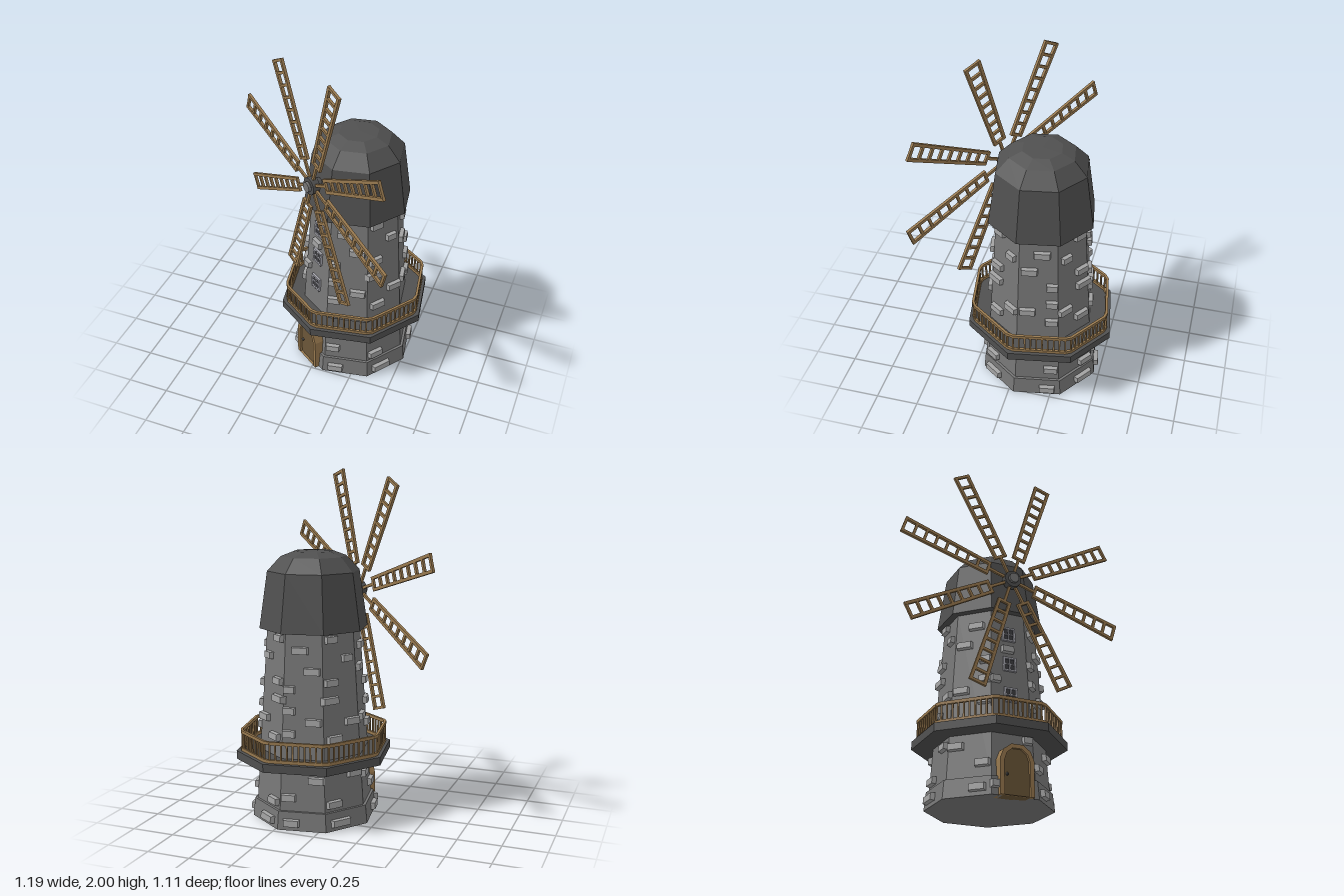
import * as THREE from 'three';

const paint = (color) => new THREE.MeshStandardMaterial({ color, flatShading: true });
const STONE = paint(0x777777), DARK = paint(0x505050), BRICK = paint(0xa2a2a2);
const WOOD = paint(0x98794f), DOOR = paint(0x6b5638), FRAME = paint(0xa8a8b0), GLASS = paint(0x3c3c40);

function add(parent, name, geometry, material, x = 0, y = 0, z = 0) {
  const mesh = new THREE.Mesh(geometry, material);
  mesh.name = name;
  mesh.position.set(x, y, z);
  parent.add(mesh);
  return mesh;
}
const box = (parent, name, w, h, d, material, x, y, z) =>
  add(parent, name, new THREE.BoxGeometry(w, h, d), material, x, y, z);

function sub(parent, name) {
  const g = new THREE.Group();
  g.name = name;
  parent.add(g);
  return g;
}

// Eight-sided turned body with a flat side towards +z
const octagonal = (points) => new THREE.LatheGeometry(
  points.map(([r, y]) => new THREE.Vector2(r, y)), 8, Math.PI / 8);

// Distance from the axis to the middle of a wall face at height y
const COS = Math.cos(Math.PI / 8);
const wallAt = (y) => COS * (y < 0.107 ? 0.367 - 0.1 * y : 0.34 - 0.07 * (y - 0.107));

// Block whose front is a little smaller than its back
function stoneGeometry(w, h) {
  const g = new THREE.BoxGeometry(w, h, 0.04);
  const p = g.attributes.position;
  for (let i = 0; i < p.count; i++) {
    if (p.getZ(i) > 0) p.setXYZ(i, p.getX(i) * 0.86, p.getY(i) * 0.8, p.getZ(i));
  }
  return g;
}

function buildStones(mill) {
  // Each stone: offset along the face, height, width
  const patterns = [
    [[-0.02, 1.02, 0.1], [0.05, 0.905, 0.1], [-0.08, 0.8, 0.07], [-0.08, 0.68, 0.075],
      [0.06, 0.62, 0.1], [-0.08, 0.55, 0.08], [0.08, 0.29, 0.1], [-0.08, 0.185, 0.09], [-0.06, 0.045, 0.1]],
    [[0.05, 1.08, 0.08], [-0.05, 0.97, 0.07], [0.06, 0.84, 0.09], [0.07, 0.74, 0.11],
      [-0.07, 0.61, 0.1], [0.05, 0.52, 0.1], [-0.07, 0.31, 0.09], [0.07, 0.15, 0.1], [0.04, 0.045, 0.13]],
  ];
  const front = [[-0.01, 0.875, 0.08], [-0.09, 0.68, 0.06], [0.09, 0.33, 0.06], [-0.12, 0.06, 0.05]];
  for (let k = 0; k < 8; k++) {
    const face = sub(mill, 'wallStones');
    face.rotation.y = k * Math.PI / 4;
    const flip = k % 4 > 1 ? -1 : 1;
    for (const [u, y, w] of k === 0 ? front : patterns[(k + 1) % 2]) {
      const stone = add(face, 'stone', stoneGeometry(w, 0.046), BRICK, u * flip, y, wallAt(y) + 0.005);
      stone.rotation.x = -0.065;
    }
  }
}

// Platform outline, slightly longer from front to back
const OUTLINE = [[0.155, 0.4345], [0.41, 0.18], [0.41, -0.18], [0.155, -0.4345],
  [-0.155, -0.4345], [-0.41, -0.18], [-0.41, 0.18], [-0.155, 0.4345]].map(([x, z]) => new THREE.Vector2(x, z));

function buildPlatform(mill) {
  const floor = new THREE.ExtrudeGeometry(new THREE.Shape(OUTLINE), { depth: 0.048, bevelEnabled: false });
  floor.rotateX(-Math.PI / 2);
  add(mill, 'platform', floor, DARK, 0, 0.358, 0);

  // Railing with cut corners
  const railing = sub(mill, 'railing');
  const corners = OUTLINE.map((p) => p.clone().multiplyScalar(0.94));
  const path = [];
  corners.forEach((a, i) => {
    const b = corners[(i + 1) % 8];
    path.push(a.clone().lerp(b, 0.06), a.clone().lerp(b, 0.94));
  });
  path.forEach((a, i) => {
    const b = path[(i + 1) % path.length];
    const mid = a.clone().lerp(b, 0.5);
    for (const y of [0.417, 0.521]) {
      const rail = box(railing, 'rail', a.distanceTo(b) + 0.004, 0.018, 0.015, WOOD, mid.x, y, mid.y);
      rail.rotation.y = -Math.atan2(b.y - a.y, b.x - a.x);
    }
    if (i % 2) return;
    for (let j = 0; j < 10; j++) {
      const p = a.clone().lerp(b, j / 9);
      const post = box(railing, 'baluster', 0.009, 0.11, 0.009, WOOD, p.x, 0.465, p.y);
      post.rotation.y = -Math.atan2(b.y - a.y, b.x - a.x);
    }
  });
}

// Door outline with a faceted arch
function arch(Type, half, side, top) {
  return new Type([[-half, 0], [half, 0], [half, side], [half * 0.8, side + (top - side) * 0.6],
    [half * 0.35, top], [-half * 0.35, top], [-half * 0.8, side + (top - side) * 0.6], [-half, side]]
    .map(([x, y]) => new THREE.Vector2(x, y)));
}

function buildDoor(mill) {
  const door = sub(mill, 'door');
  const frame = arch(THREE.Shape, 0.1, 0.2, 0.283);
  frame.holes.push(arch(THREE.Path, 0.076, 0.19, 0.26));
  add(door, 'doorFrame', new THREE.ExtrudeGeometry(frame, { depth: 0.09, bevelEnabled: false }), WOOD, 0, 0, 0.275);
  const panel = arch(THREE.Shape, 0.078, 0.191, 0.262);
  add(door, 'doorPanel', new THREE.ExtrudeGeometry(panel, { depth: 0.075, bevelEnabled: false }), DOOR, 0, 0, 0.275);
  add(door, 'doorKnob', new THREE.SphereGeometry(0.009, 8, 6), DARK, -0.056, 0.115, 0.355);
}

function buildWindow(mill, y) {
  const win = sub(mill, 'window');
  win.position.set(0, y, wallAt(y));
  win.rotation.x = -0.065;
  box(win, 'windowPane', 0.072, 0.08, 0.012, GLASS, 0, 0, 0);
  for (const s of [-1, 0, 1]) {
    const t = s ? 0.011 : 0.007;
    box(win, 'windowUpright', t, 0.086, 0.024, FRAME, s * 0.035, 0, 0.002);
    box(win, 'windowCrossbar', 0.08, t, 0.023, FRAME, 0, s * 0.038, 0.002);
  }
}

function buildSails(mill) {
  const sails = sub(mill, 'sails');
  sails.position.set(0, 1.307, 0.313);
  const disc = (name, r, from, to, material) => {
    const g = new THREE.CylinderGeometry(r, r, to - from, 12);
    g.rotateX(Math.PI / 2);
    add(sails, name, g, material, 0, 0, (from + to) / 2);
  };
  disc('axle', 0.03, -0.12, 0.03, DARK);
  disc('hub', 0.052, -0.022, 0.022, DARK);
  disc('hubCap', 0.03, 0.02, 0.04, STONE);

  // Ladder-like blades that widen towards the tip
  const inner = 0.15, outer = 0.715, cells = 8;
  const halfAt = (r) => 0.033 + 0.011 * (r - inner) / (outer - inner);
  for (let k = 0; k < 8; k++) {
    const blade = sub(sails, 'sail');
    blade.rotation.z = -THREE.MathUtils.degToRad(17.5 + 45 * k);
    box(blade, 'spar', 0.016, 0.13, 0.014, WOOD, 0, 0.09, 0);
    for (const s of [-1, 1]) {
      const rail = box(blade, 'sailRail', 0.018, outer - inner, 0.017, WOOD,
        s * halfAt((inner + outer) / 2), (inner + outer) / 2, 0);
      rail.rotation.z = -s * 0.011 / (outer - inner);
    }
    for (let i = 0; i <= cells; i++) {
      const r = inner + 0.008 + (outer - inner - 0.016) * i / cells;
      box(blade, 'sailRung', 2 * halfAt(r), 0.016, 0.015, WOOD, 0, r, 0);
    }
  }
}

export function createModel() {
  const model = new THREE.Group();
  model.name = 'windmill';
  const mill = sub(model, 'mill');
  mill.position.set(0.154, 0, -0.113);
  mill.rotation.y = -0.616;

  add(mill, 'base', octagonal([[0, 0], [0.367, 0], [0.356, 0.107], [0.33, 0.107]]), STONE);
  add(mill, 'tower', octagonal([[0.34, 0.107], [0.27, 1.12]]), STONE);
  add(mill, 'cap', octagonal([[0, 1.115], [0.315, 1.115], [0.267, 1.44], [0.19, 1.522], [0.115, 1.55], [0, 1.555]]), DARK);

  buildStones(mill);
  buildPlatform(mill);
  buildDoor(mill);
  for (const y of [0.974, 0.783, 0.593]) buildWindow(mill, y);
  buildSails(mill);
  return model;
}
